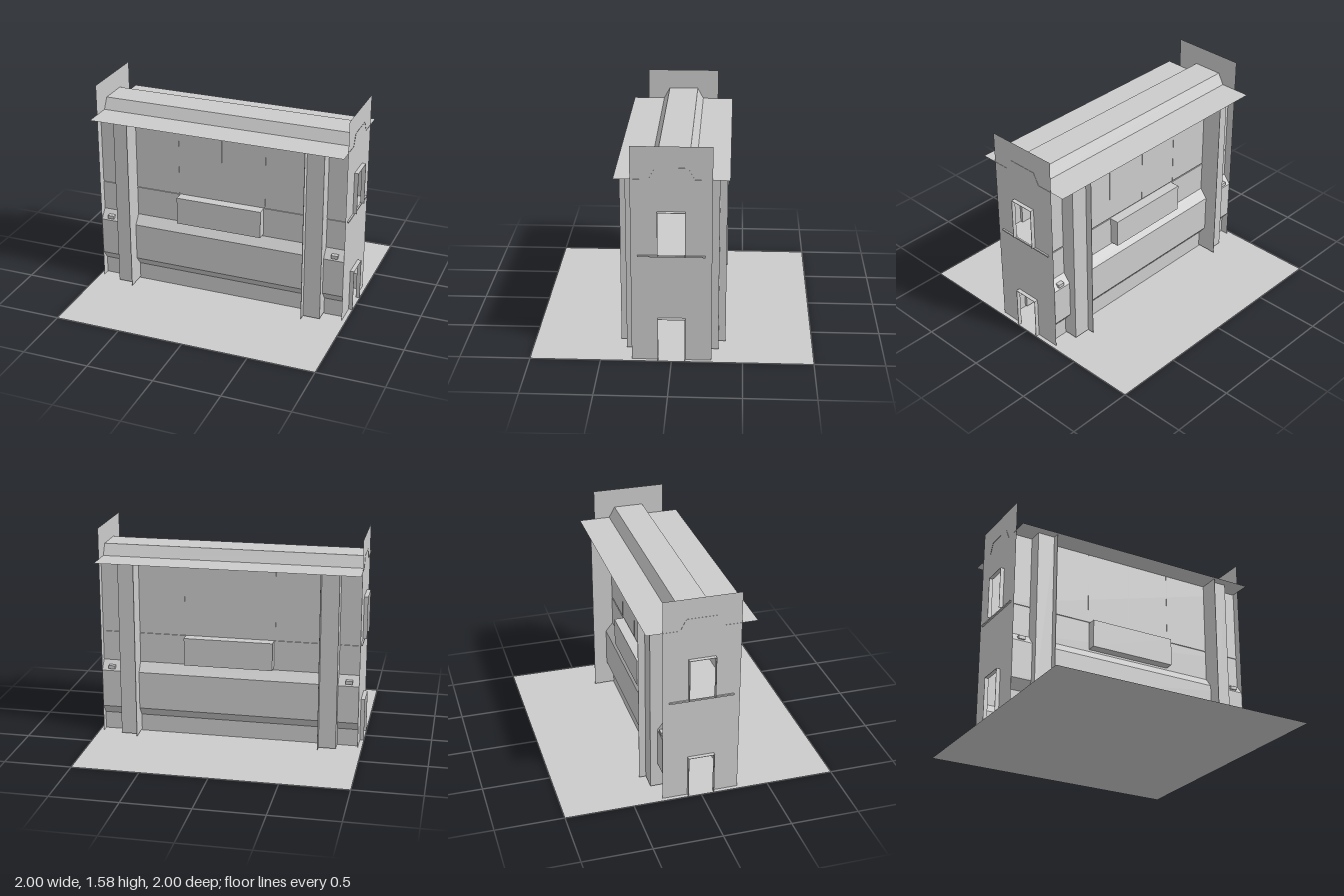
import * as THREE from 'three';

const mat = new THREE.MeshStandardMaterial({ color: 0xcccccc, flatShading: true, side: THREE.DoubleSide });

function add(parent, name, geometry) {
  const mesh = new THREE.Mesh(geometry, mat);
  mesh.name = name;
  parent.add(mesh);
  return mesh;
}

// Box given by its low and high limits on each axis
function box(parent, name, x0, x1, y0, y1, z0, z1) {
  const mesh = add(parent, name, new THREE.BoxGeometry(x1 - x0, y1 - y0, z1 - z0));
  mesh.position.set((x0 + x1) / 2, (y0 + y1) / 2, (z0 + z1) / 2);
  return mesh;
}

// Open sheet: a [z, y] profile swept along x; an upward profile faces +z
function sheet(parent, name, profile, x0, x1) {
  const pos = [];
  for (let i = 0; i < profile.length - 1; i++) {
    const [za, ya] = profile[i], [zb, yb] = profile[i + 1];
    pos.push(x0, ya, za, x1, ya, za, x1, yb, zb, x0, ya, za, x1, yb, zb, x0, yb, zb);
  }
  const g = new THREE.BufferGeometry();
  g.setAttribute('position', new THREE.Float32BufferAttribute(pos, 3));
  g.computeVertexNormals();
  return add(parent, name, g);
}

function rect(path, x0, x1, y0, y1) {
  path.moveTo(x0, y0);
  path.lineTo(x1, y0);
  path.lineTo(x1, y1);
  path.lineTo(x0, y1);
  path.closePath();
  return path;
}

// Long facade with its bulging lower band, pilasters and sign box
function facade() {
  const g = new THREE.Group();
  sheet(g, 'facadeWall', [
    [0.22, 0], [0.22, 0.13], [0.275, 0.2], [0.275, 0.485], [0.22, 0.555],
    [0.22, 0.78], [0.212, 0.78], [0.212, 0.79], [0.22, 0.79], [0.22, 1.345],
  ], -0.97, 0.97);
  box(g, 'signBox', -0.333, 0.33, 0.57, 0.78, 0.21, 0.29);

  for (const s of [-1, 1]) {
    const a = s * 0.685, b = s * 0.815;
    box(g, 'pilaster', Math.min(a, b), Math.max(a, b), 0.01, 1.345, 0.2, 0.327);
    box(g, 'pilasterFin', a - 0.002, a + 0.002, 0.01, 1.345, 0.32, 0.377);
    box(g, 'wallLamp', s * 0.895 - 0.025, s * 0.895 + 0.025, 0.5, 0.525, 0.24, 0.277);
  }
  // Upper panel seams
  for (const x of [-0.34, 0, 0.34]) box(g, 'panelSeam', x - 0.002, x + 0.002, 0.79, 1.345, 0.215, 0.222);
  return g;
}

// End wall with two doorways, projecting door frames and a ledge
function endWall() {
  const g = new THREE.Group();
  const shape = new THREE.Shape();
  // Outline runs around the ground doorway, the upper one is a hole
  [[-0.28, 0], [-0.093, 0], [-0.093, 0.32], [0.093, 0.32], [0.093, 0], [0.28, 0], [0.28, 1.58], [-0.28, 1.58]]
    .forEach(([x, y], i) => (i ? shape.lineTo(x, y) : shape.moveTo(x, y)));
  shape.closePath();
  shape.holes.push(rect(new THREE.Path(), -0.093, 0.093, 0.797, 1.115));
  const wall = add(g, 'endWallPanel', new THREE.ShapeGeometry(shape));
  wall.rotation.y = Math.PI / 2;
  wall.position.x = 0.97;

  for (const [y0, y1] of [[0, 0.32], [0.797, 1.115]]) {
    for (const s of [-1, 1]) box(g, 'doorJamb', 0.97, 1, y0, y1, s * 0.095 - 0.002, s * 0.095 + 0.002);
    box(g, 'doorHead', 0.97, 1, y1, y1 + 0.003, -0.097, 0.097);
  }
  box(g, 'ledge', 0.97, 0.982, 0.786, 0.797, -0.235, 0.235);
  return g;
}

export function createModel() {
  const model = new THREE.Group();
  model.name = 'building';

  // Ground
  const ground = add(model, 'ground', new THREE.PlaneGeometry(2, 2));
  ground.rotation.x = -Math.PI / 2;

  // Front and back facades, both end walls
  for (const [name, make] of [['facade', facade], ['endWall', endWall]]) {
    for (const turn of [0, Math.PI]) {
      const part = make();
      part.name = name;
      part.rotation.y = turn;
      model.add(part);
    }
  }

  // Upper floor
  sheet(model, 'upperFloor', [[0.22, 0.79], [-0.22, 0.79]], -0.97, 0.97);

  // Roof with flat eaves and raised middle
  sheet(model, 'roof', [
    [0.393, 1.347], [0.155, 1.347], [0.11, 1.43], [-0.115, 1.43], [-0.16, 1.347], [-0.397, 1.347],
  ], -0.972, 0.972);

  return model;
}
